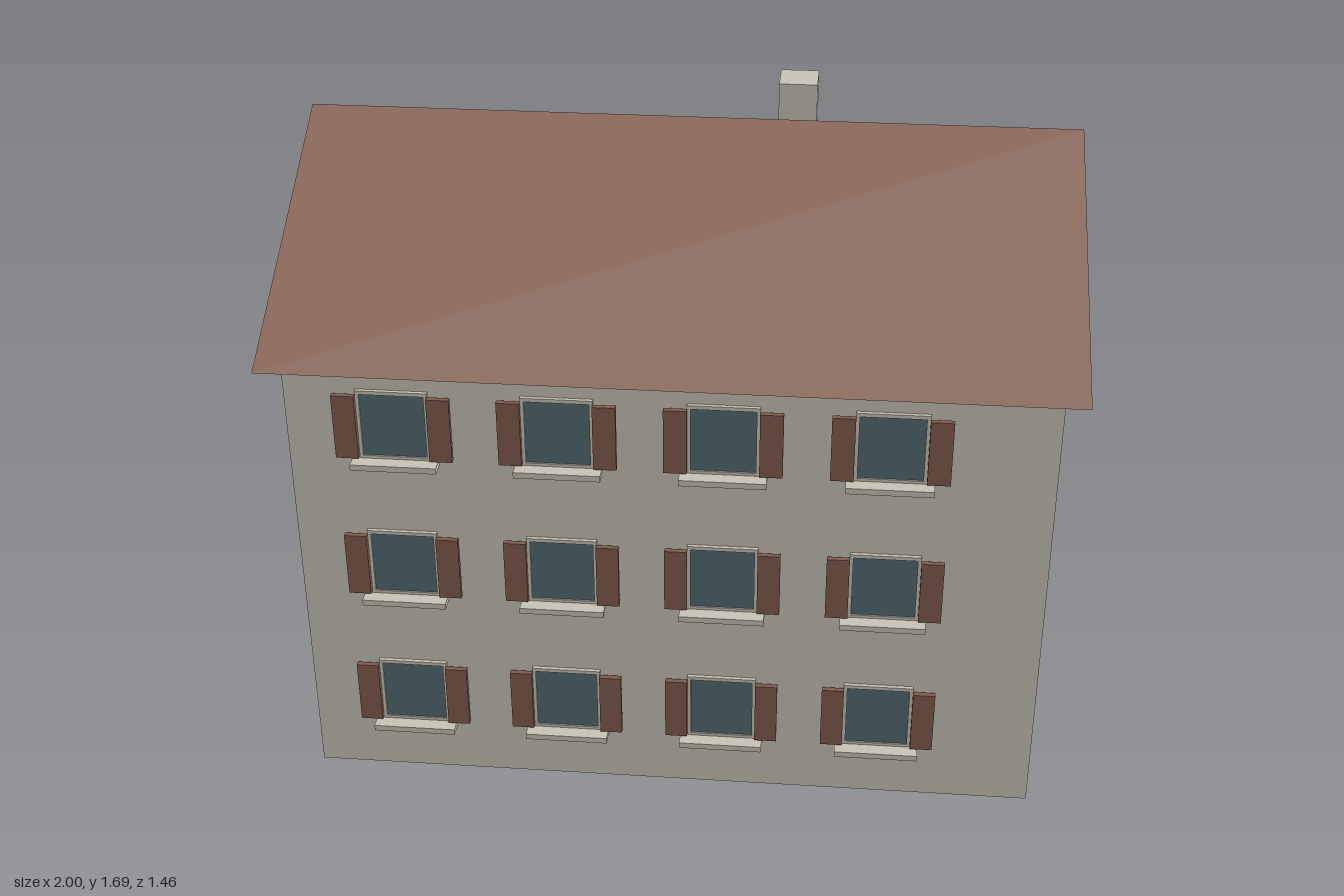
import * as THREE from 'three';

const mat = (name, color, side = THREE.FrontSide) => {
  const m = new THREE.MeshStandardMaterial({ color, side });
  m.name = name;
  return m;
};

export function createModel() {
  const house = new THREE.Group();
  house.name = 'house';
  const plaster = mat('plaster', 0xc8c4b7);
  const roofTile = mat('roof tile', 0x8a6858, THREE.DoubleSide);
  const shutterWood = mat('shutter wood', 0x805c4f);
  const glass = mat('glass', 0x536a70);

  const add = (parent, name, geometry, material, x = 0, y = 0, z = 0) => {
    const mesh = new THREE.Mesh(geometry, material);
    mesh.name = name;
    mesh.position.set(x, y, z);
    parent.add(mesh);
    return mesh;
  };

  // Walls: the gable outline (z, y) extruded along x
  const HALF_X = 0.945, HALF_Z = 0.675;
  const gable = new THREE.Shape([
    [-HALF_Z, 0], [HALF_Z, 0], [HALF_Z, 1.22], [0, 1.62], [-HALF_Z, 1.22],
  ].map(([a, b]) => new THREE.Vector2(a, b)));
  const wallGeo = new THREE.ExtrudeGeometry(gable, { depth: HALF_X * 2, bevelEnabled: false });
  wallGeo.translate(0, 0, -HALF_X).rotateY(Math.PI / 2);
  add(house, 'walls', wallGeo, plaster);

  // Roof: two thin sheets meeting at the ridge and overhanging the walls
  const ridgeY = 1.625, eaveY = 1.22, eaveZ = 0.73;
  const slopeLength = Math.hypot(eaveZ, ridgeY - eaveY);
  const pitch = Math.atan2(ridgeY - eaveY, eaveZ);
  for (const side of [1, -1]) {
    const slope = new THREE.PlaneGeometry(2, slopeLength).rotateX(-Math.PI / 2);
    slope.rotateX(side * pitch);
    add(house, side > 0 ? 'frontRoof' : 'backRoof', slope, roofTile,
      0, (ridgeY + eaveY) / 2, side * eaveZ / 2);
  }

  // Chimney on the back slope
  add(house, 'chimney', new THREE.BoxGeometry(0.1, 0.29, 0.107), plaster, 0.268, 1.545, -0.137);

  // Window parts, shared by every window; z = 0 is the wall face
  const rect = (Type, w, h) => new Type([
    new THREE.Vector2(-w / 2, -h / 2), new THREE.Vector2(w / 2, -h / 2),
    new THREE.Vector2(w / 2, h / 2), new THREE.Vector2(-w / 2, h / 2),
  ]);
  const frameShape = rect(THREE.Shape, 0.178, 0.192);
  frameShape.holes.push(rect(THREE.Path, 0.16, 0.172));
  const frameGeo = new THREE.ExtrudeGeometry(frameShape, { depth: 0.01, bevelEnabled: false });
  const glassGeo = new THREE.BoxGeometry(0.162, 0.174, 0.006);
  const shutterGeo = new THREE.BoxGeometry(0.057, 0.175, 0.014);
  const sillGeo = new THREE.BoxGeometry(0.215, 0.016, 0.046);

  const makeWindow = () => {
    const win = new THREE.Group();
    win.name = 'window';
    add(win, 'windowFrame', frameGeo, plaster);
    add(win, 'windowPane', glassGeo, glass, 0, 0, 0.003);
    add(win, 'leftShutter', shutterGeo, shutterWood, 0.117, 0, 0.018);
    add(win, 'rightShutter', shutterGeo, shutterWood, -0.117, 0, 0.018);
    add(win, 'windowSill', sillGeo, plaster, 0, -0.102, 0.023);
    return win;
  };

  // Three floors of four windows on the front and back
  for (const side of [1, -1]) {
    for (let row = 0; row < 3; row++) {
      for (let col = 0; col < 4; col++) {
        const win = makeWindow();
        win.position.set(-0.676 + col * 0.406, 0.252 + row * 0.405, side * HALF_Z);
        if (side < 0) win.rotation.y = Math.PI;
        house.add(win);
      }
    }
  }
  return house;
}
